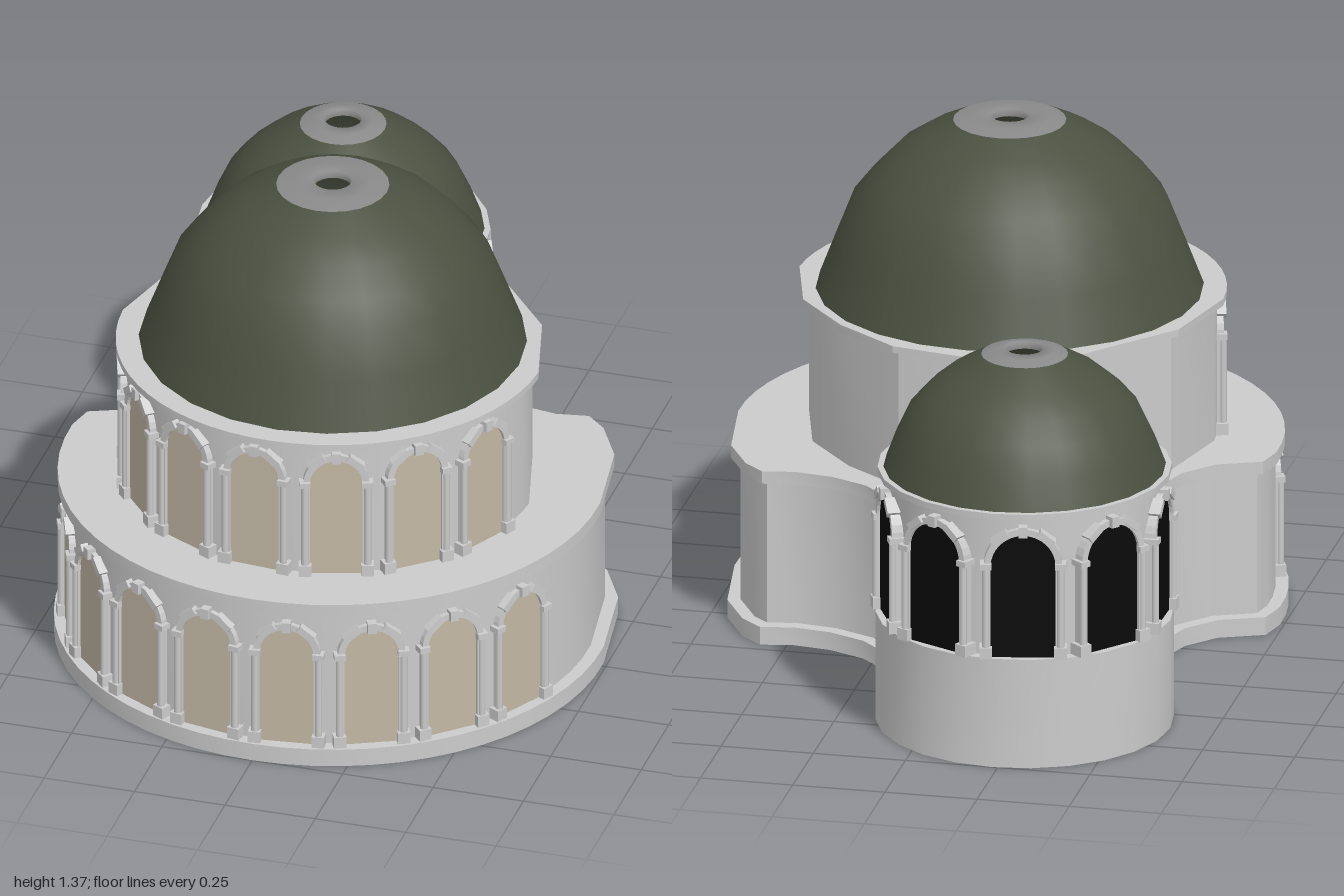
import * as THREE from 'three';
import { toCreasedNormals } from 'three/addons/utils/BufferGeometryUtils.js';

const mat = (color, side = THREE.FrontSide) => new THREE.MeshStandardMaterial({ color, side });
const stone = mat(0xcccccc);
const beige = mat(0xc3b8a4);
const black = mat(0x0a0a0a);
const green = mat(0x4b5141, THREE.DoubleSide);
const capGrey = mat(0x8a8a8a, THREE.DoubleSide);

function add(parent, name, geometry, material, x = 0, y = 0, z = 0) {
  const mesh = new THREE.Mesh(geometry, material);
  mesh.name = name;
  mesh.position.set(x, y, z);
  parent.add(mesh);
  return mesh;
}

// Plan outline: a front arc closed by a list of [x, z] points running from right to left round the back
function outline(radius, cz, sweep, back) {
  const pts = [];
  for (let i = 0; i <= 30; i++) {
    const a = sweep * (i / 15 - 1);
    pts.push(new THREE.Vector2(radius * Math.sin(a), -cz - radius * Math.cos(a)));
  }
  back.forEach(([x, z]) => pts.push(new THREE.Vector2(x, -z)));
  return pts;
}

// Moves every outline corner inwards by a distance
function inset(pts, d) {
  const n = pts.length;
  return pts.map((p, i) => {
    const u = p.clone().sub(pts[(i + n - 1) % n]).normalize();
    const v = pts[(i + 1) % n].clone().sub(p).normalize();
    const m = new THREE.Vector2(u.y + v.y, -u.x - v.x).normalize();
    const k = Math.max(0.6, m.x * u.y - m.y * u.x);
    return p.clone().addScaledVector(m, -d / k);
  });
}

function storey(parent, name, pts, y0, y1) {
  const g = new THREE.ExtrudeGeometry(new THREE.Shape(pts), { depth: y1 - y0, bevelEnabled: false });
  g.rotateX(-Math.PI / 2);
  add(parent, name, toCreasedNormals(g, 0.4), stone, 0, y0, 0);
}

// Round-headed outline standing on y = 0
function archPath(path, w, h) {
  const r = w / 2;
  path.moveTo(-r, 0);
  path.lineTo(r, 0);
  path.lineTo(r, h - r);
  path.absarc(0, h - r, r, 0, Math.PI, false);
  path.lineTo(-r, 0);
  return path;
}

// Arched window on a round wall; angle 0 faces +z and grows towards +x
function archWindow(parent, cx, cz, radius, angle, y, w, h, paneMaterial) {
  const win = new THREE.Group();
  win.name = 'archedWindow';
  win.position.set(cx + radius * Math.sin(angle), y, cz + radius * Math.cos(angle));
  win.rotation.y = angle;
  parent.add(win);

  const pane = new THREE.ExtrudeGeometry(archPath(new THREE.Shape(), w, h),
    { depth: 0.03, bevelEnabled: false, curveSegments: 8 });
  add(win, 'windowPane', pane, paneMaterial, 0, 0, -0.027);

  const surround = archPath(new THREE.Shape(), w + 0.036, h + 0.018);
  surround.holes.push(archPath(new THREE.Path(), w, h));
  const frame = new THREE.ExtrudeGeometry(surround, { depth: 0.04, bevelEnabled: false, curveSegments: 8 });
  add(win, 'archSurround', frame, stone, 0, 0, -0.028);

  const spring = h - w / 2;
  for (const s of [-1, 1]) {
    const x = s * (w / 2 + 0.013);
    add(win, 'columnBase', new THREE.BoxGeometry(0.034, 0.032, 0.045), stone, x, 0.016, 0);
    add(win, 'column', new THREE.CylinderGeometry(0.010, 0.010, spring, 8), stone, x, spring / 2, 0.01);
    add(win, 'capital', new THREE.BoxGeometry(0.03, 0.016, 0.042), stone, x, spring, 0);
    // raised voussoir on each shoulder
    const block = add(win, 'voussoir', new THREE.BoxGeometry(0.05, 0.02, 0.04), stone,
      s * (w / 2 + 0.012) * 0.62, spring + (w / 2 + 0.012) * 0.8, 0);
    block.rotation.z = -s * 0.66;
  }
  add(win, 'keystone', new THREE.BoxGeometry(0.024, 0.03, 0.046), stone, 0, h + 0.012, 0);
}

function dome(parent, name, profile, cap, x, z) {
  const v = (list) => list.map(([r, y]) => new THREE.Vector2(r, y));
  add(parent, name, new THREE.LatheGeometry(v(profile), 24), green, x, 0, z);
  add(parent, name + 'OculusRing', new THREE.LatheGeometry(v(cap), 24), capGrey, x, 0, z);
}

export function createModel() {
  const model = new THREE.Group();
  model.name = 'domedBuilding';
  const deg = Math.PI / 180;
  const cz = 0.26;

  // Lower storey with a waist that runs into the small tower
  const lower = outline(0.74, cz, 92 * deg, [
    [0.70, -0.03], [0.63, -0.16], [0.57, -0.215], [0.48, -0.2], [0.38, -0.215], [0.28, -0.26],
    [0.2, -0.34], [0.14, -0.44], [-0.1, -0.5], [-0.45, -0.4], [-0.49, -0.27], [-0.49, -0.1],
    [-0.53, 0.02], [-0.6, 0.1], [-0.72, 0.15]]);
  const hall = new THREE.Group();
  hall.name = 'mainHall';
  model.add(hall);
  storey(hall, 'plinth', lower, 0, 0.05);
  storey(hall, 'lowerWall', inset(lower, 0.035), 0.05, 0.45);
  storey(hall, 'lowerCornice', inset(lower, 0.01), 0.45, 0.485);
  for (let i = 0; i < 8; i++) {
    archWindow(hall, 0, cz, 0.705, (-65.5 + 18.1 * i) * deg, 0.05, 0.145, 0.345, beige);
  }

  // Upper storey
  const upper = outline(0.575, 0.265, 88 * deg, [
    [0.51, 0.04], [0.37, -0.13], [0.2, -0.26], [0, -0.3], [-0.1, -0.3],
    [-0.28, -0.24], [-0.38, -0.12], [-0.51, 0.03]]);
  storey(hall, 'upperWall', inset(upper, 0.025), 0.485, 0.868);
  storey(hall, 'upperCornice', upper, 0.868, 0.887);
  for (let i = 0; i < 7; i++) {
    archWindow(hall, 0, 0.265, 0.55, (-73 + 22.7 * i) * deg, 0.485, 0.14, 0.345, beige);
  }
  dome(hall, 'mainDome',
    [[0.515, 0.885], [0.465, 1.015], [0.42, 1.13], [0.365, 1.2], [0.3, 1.268], [0.23, 1.315], [0.15, 1.355]],
    [[0.15, 1.355], [0.1, 1.364], [0.05, 1.366], [0.05, 1.345]], 0, 0.265);

  // Small round tower at the back
  const tower = new THREE.Group();
  tower.name = 'tower';
  tower.position.set(-0.235, 0, -0.605);
  model.add(tower);
  const drum = (name, r, y0, y1) =>
    add(tower, name, toCreasedNormals(new THREE.CylinderGeometry(r, r, y1 - y0, 24), 0.4), stone, 0, (y0 + y1) / 2, 0);
  drum('towerBase', 0.395, 0, 0.305);
  drum('towerWall', 0.368, 0.305, 0.695);
  drum('towerCornice', 0.39, 0.695, 0.712);
  for (let i = 0; i < 5; i++) {
    archWindow(tower, 0, 0, 0.37, (115 + 38.5 * i) * deg, 0.305, 0.172, 0.345, black);
  }
  dome(tower, 'towerDome',
    [[0.375, 0.71], [0.345, 0.79], [0.308, 0.87], [0.26, 0.925], [0.2, 0.975], [0.115, 1.025]],
    [[0.115, 1.025], [0.08, 1.036], [0.05, 1.04], [0.05, 1.02]], 0, 0);
  add(tower, 'towerInterior', new THREE.CylinderGeometry(0.34, 0.34, 0.01, 24), black, 0, 0.715, 0);

  return model;
}
